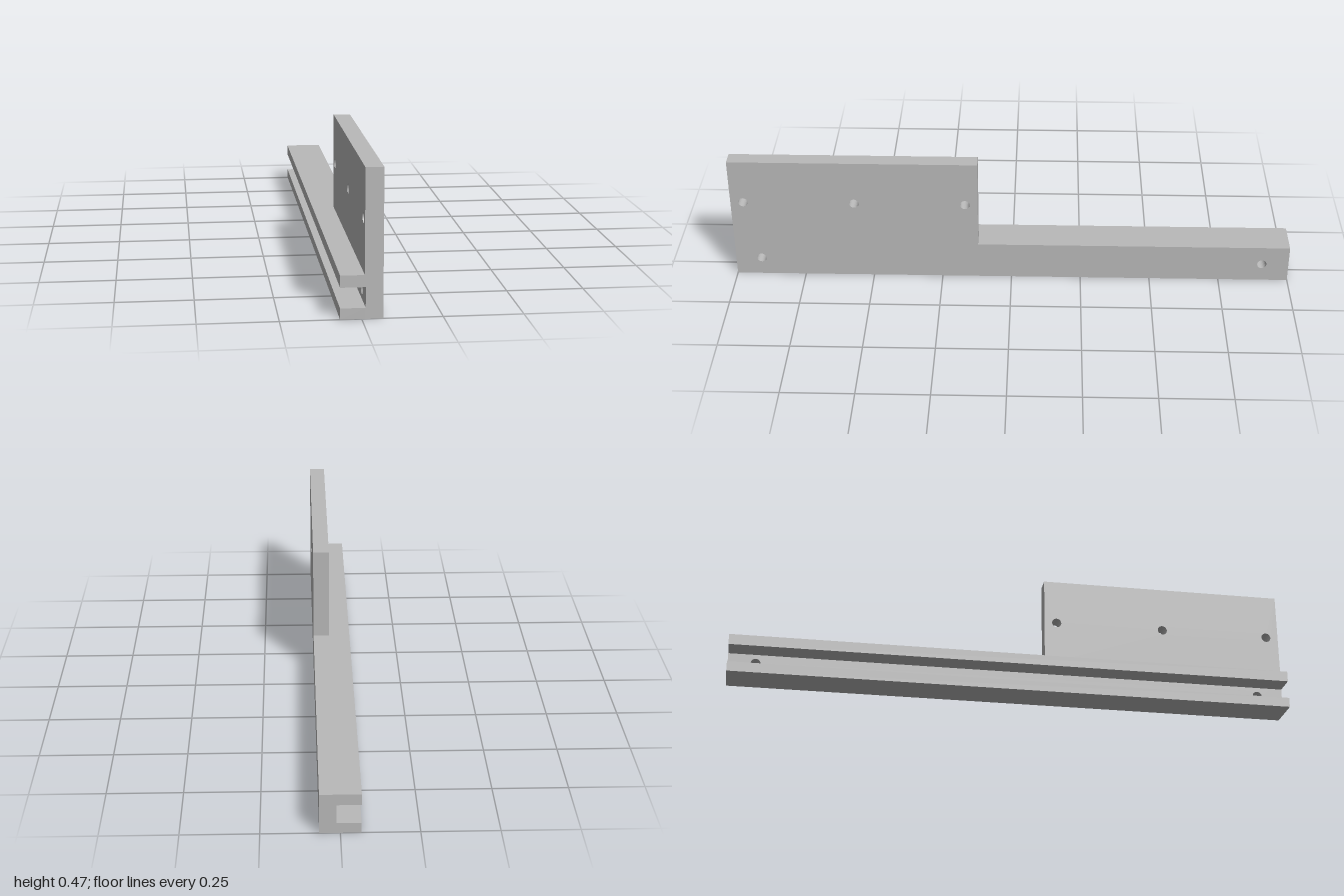
import * as THREE from 'three';

const OUTER = 0.066;      // flat mounting face
const LENGTH = 2;
const HOLE_RADIUS = 0.017;

export function createModel() {
  const group = new THREE.Group();
  group.name = 'channelBracket';
  const grey = new THREE.MeshStandardMaterial({ color: 0xbababa });
  grey.name = 'plain grey';

  const add = (name, geometry) => {
    const mesh = new THREE.Mesh(geometry, grey);
    mesh.name = name;
    group.add(mesh);
    return mesh;
  };

  // Upright plate spanning z0..z1 and y0..y1, drilled through along x
  const drilledPlate = (name, z0, z1, y0, y1, inner, holes) => {
    const shape = new THREE.Shape();
    shape.moveTo(-z1, y0).lineTo(-z0, y0).lineTo(-z0, y1).lineTo(-z1, y1).closePath();
    for (const [z, y] of holes) {
      shape.holes.push(new THREE.Path().absarc(-z, y, HOLE_RADIUS, 0, Math.PI * 2, true));
    }
    const geometry = new THREE.ExtrudeGeometry(shape, {
      depth: OUTER - inner, bevelEnabled: false, curveSegments: 24,
    });
    geometry.rotateY(Math.PI / 2).translate(inner, 0, 0);
    add(name, geometry);
  };

  // Back wall of the channel and the taller mounting plate at the front end
  drilledPlate('channelWeb', -1, 1, 0, 0.138, 0.012, [[0.907, 0.068], [-0.904, 0.068]]);
  drilledPlate('mountingPlate', 0.12, 1, 0.138, 0.47, 0.009,
    [[0.955, 0.305], [0.56, 0.305], [0.165, 0.305]]);

  // Channel flanges
  for (const [name, y0, y1] of [['lowerFlange', 0, 0.035], ['upperFlange', 0.1, 0.138]]) {
    const width = 0.012 + OUTER;
    add(name, new THREE.BoxGeometry(width, y1 - y0, LENGTH))
      .position.set(0.012 - width / 2, (y0 + y1) / 2, 0);
  }
  return group;
}
